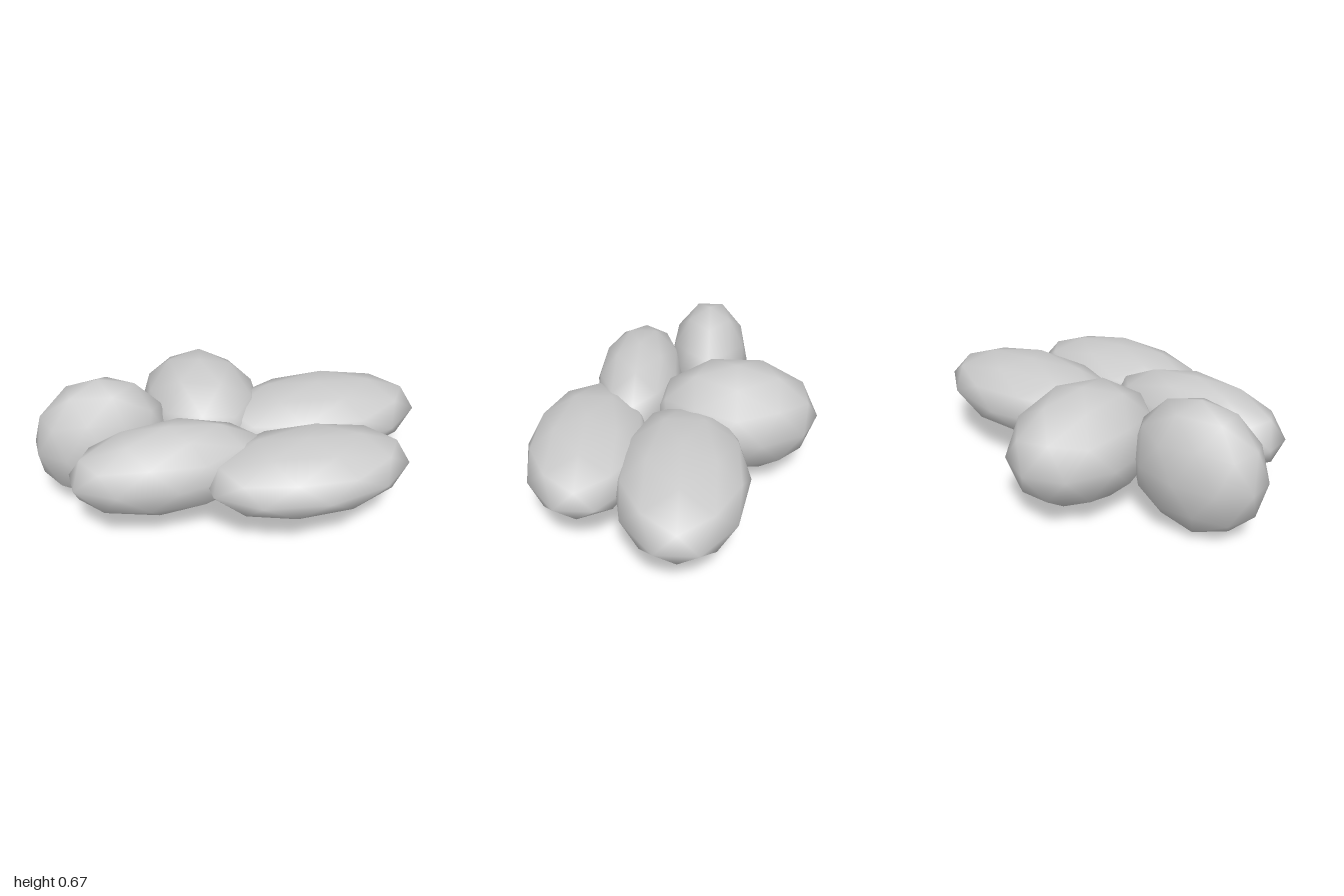
import * as THREE from 'three';
import { mergeVertices } from 'three/addons/utils/BufferGeometryUtils.js';

// Stretched low-poly icosphere with a vertex at the top and smooth shading
function pebbleGeometry(rx, ry, rz) {
  const ball = new THREE.IcosahedronGeometry(1, 1);
  ball.deleteAttribute('uv');
  ball.deleteAttribute('normal');
  ball.rotateZ(-Math.atan(2 / (1 + Math.sqrt(5)))); // bring a corner onto the y axis
  ball.scale(rx, ry, rz);
  const geometry = mergeVertices(ball, 1e-4);
  geometry.computeVertexNormals();
  return geometry;
}

export function createModel() {
  const group = new THREE.Group();
  group.name = 'pebbleCluster';
  const material = new THREE.MeshStandardMaterial({ color: 0xcccccc });

  // Five overlapping pebbles: name, centre, radii
  const pebbles = [
    ['pebbleBackRight', [-0.667, 0.34, -0.153], [0.35, 0.337, 0.222]],
    ['pebbleBack', [-0.105, 0.338, -0.305], [0.32, 0.29, 0.43]],
    ['pebbleLeft', [0.462, 0.342, -0.053], [0.562, 0.193, 0.325]],
    ['pebbleFrontRight', [-0.405, 0.353, 0.224], [0.497, 0.225, 0.237]],
    ['pebbleFrontLeft', [0.235, 0.34, 0.423], [0.525, 0.177, 0.306]],
  ];
  for (const [name, centre, radii] of pebbles) {
    const mesh = new THREE.Mesh(pebbleGeometry(...radii), material);
    mesh.name = name;
    mesh.position.set(...centre);
    group.add(mesh);
  }
  return group;
}
